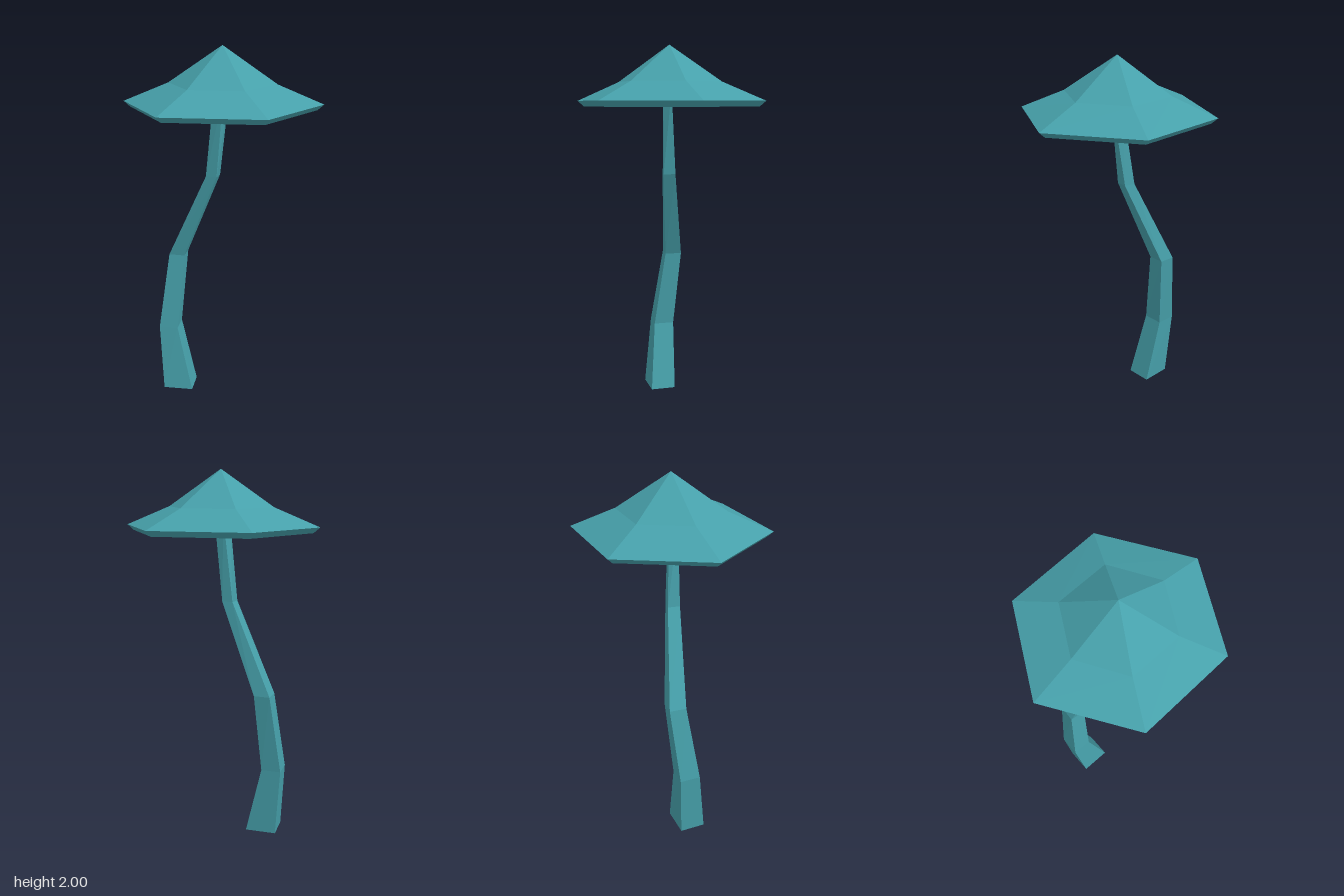
import * as THREE from 'three';

// Skin a list of closed rings (counter-clockwise from above when listed bottom to top)
function skin(rings, material, name) {
  const pos = [];
  const tri = (a, b, c) => pos.push(...a, ...b, ...c);
  for (let i = 0; i < rings.length - 1; i++) {
    const lo = rings[i], hi = rings[i + 1], n = lo.length;
    for (let j = 0; j < n; j++) {
      const k = (j + 1) % n;
      tri(lo[j], lo[k], hi[k]);
      tri(lo[j], hi[k], hi[j]);
    }
  }
  const geometry = new THREE.BufferGeometry();
  geometry.setAttribute('position', new THREE.Float32BufferAttribute(pos, 3));
  geometry.computeVertexNormals();
  const mesh = new THREE.Mesh(geometry, material);
  mesh.name = name;
  return mesh;
}

// Six-sided ring of the cap: half width in x, half depth in z, height, twist
function hexRing(rx, rz, y, twist = 0) {
  return Array.from({ length: 6 }, (_, i) => {
    const a = -i * Math.PI / 3 + twist;
    return [rx * Math.cos(a), y, rz * Math.sin(a) / Math.sin(Math.PI / 3)];
  });
}

// Slightly turned four-sided ring of the stem, from its extents
function stemRing([y, x0, x1, z0, z1, t]) {
  const w = (x1 - x0) * t, d = (z1 - z0) * t;
  return [[x1 - w, y, z1], [x1, y, z0 + d], [x0 + w, y, z0], [x0, y, z1 - d]];
}

export function createModel() {
  const teal = new THREE.MeshStandardMaterial({ color: 0x46a0aa, flatShading: true, side: THREE.DoubleSide });
  teal.name = 'teal';

  const group = new THREE.Group();
  group.name = 'mushroom';

  // Cap: shallow hollow underside, bevelled rim, flared skirt, steep peak
  group.add(skin([
    hexRing(0, 0, 1.74),
    hexRing(0.495, 0.42, 1.675),
    hexRing(0.53, 0.45, 1.705),
    hexRing(0.288, 0.248, 1.805, 0.02),
    hexRing(0, 0, 2),
  ], teal, 'cap'));

  // Crooked stem, open at both ends: y, x min, x max, z min, z max, turn
  group.add(skin([
    [0, -0.345, -0.17, -0.095, 0.052, 0.04],
    [0.38, -0.372, -0.258, -0.115, 0.007, 0.06],
    [0.815, -0.315, -0.218, -0.153, -0.05, 0.1],
    [1.305, -0.09, -0.018, -0.055, 0.023, 0.17],
    [1.75, -0.045, 0.035, -0.02, 0.038, 0.34],
  ].map(stemRing), teal, 'stem'));

  return group;
}
